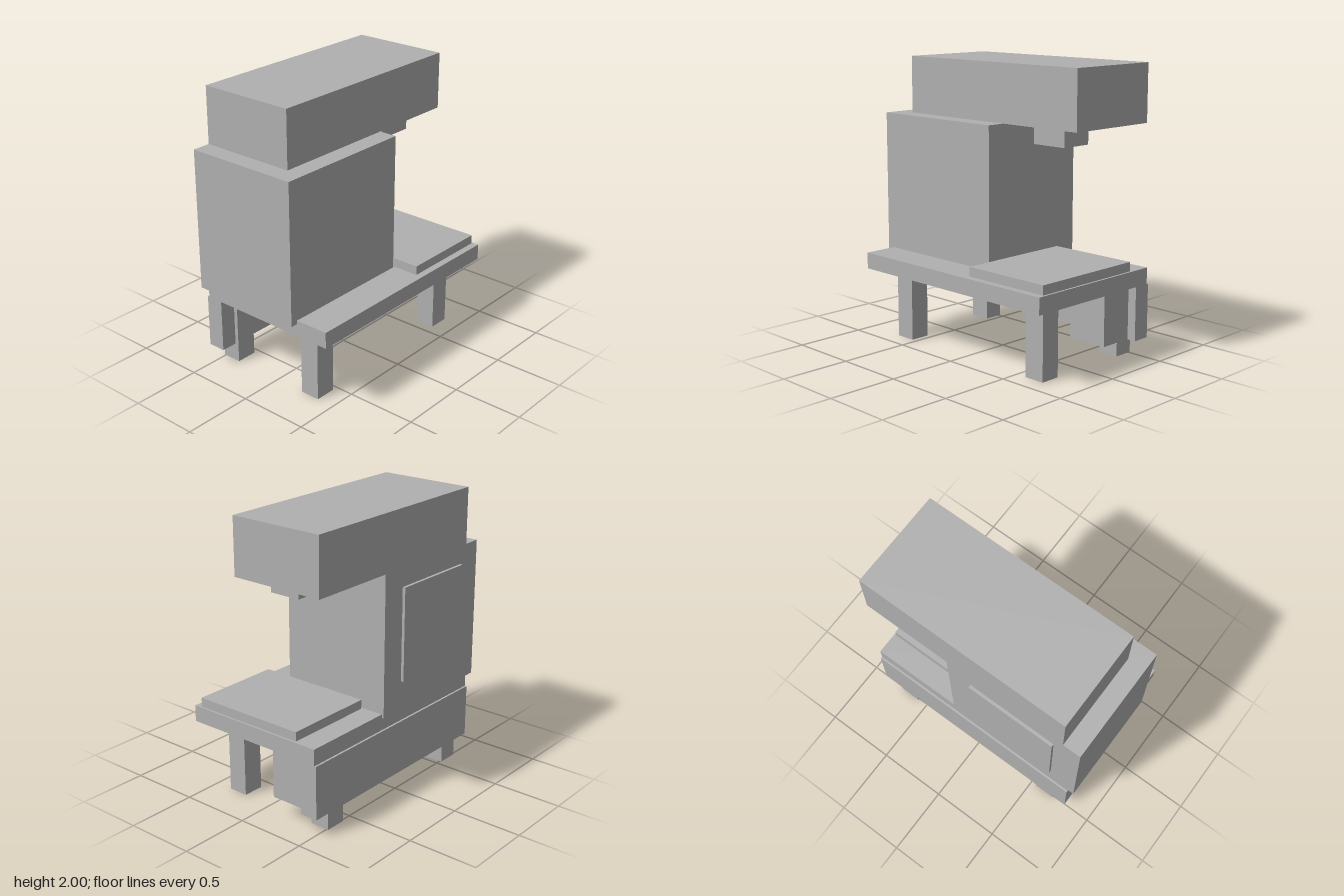
import * as THREE from 'three';

export function createModel() {
  const model = new THREE.Group();
  model.name = 'millingMachine';

  const grey = new THREE.MeshStandardMaterial({ color: 0xb0b0b0 });
  grey.name = 'grey';

  // Adds a box spanning the given [min, max] ranges
  function block(name, [x0, x1], [y0, y1], [z0, z1]) {
    const mesh = new THREE.Mesh(new THREE.BoxGeometry(x1 - x0, y1 - y0, z1 - z0), grey);
    mesh.position.set((x0 + x1) / 2, (y0 + y1) / 2, (z0 + z1) / 2);
    mesh.name = name;
    model.add(mesh);
  }

  // Table with its apron along the back
  block('tableTop', [-0.81, 0.863], [0.51, 0.625], [-0.512, 0.548]);
  block('backApron', [-0.81, 0.863], [0.132, 0.51], [-0.527, -0.398]);

  // Four legs
  for (const [side, x] of [['right', [-0.692, -0.54]], ['left', [0.578, 0.73]]]) {
    block(side + 'FrontLeg', x, [0, 0.51], [0.227, 0.37]);
    block(side + 'BackLeg', x, [0, 0.51], [-0.512, -0.37]);
  }

  // Control box under the table
  block('controlBox', [0.525, 0.822], [0.145, 0.498], [-0.37, -0.122]);

  // Column, overhanging head and the tool below it
  block('column', [-0.863, 0.176], [0.6, 1.6], [-0.527, 0.305]);
  block('head', [-0.732, 0.822], [1.6, 2], [-0.527, 0.174]);
  block('toolHolder', [0.345, 0.615], [1.47, 1.6], [-0.176, 0.056]);

  // Work plate on the table and access panel on the back
  block('workPlate', [0.19, 0.848], [0.625, 0.69], [-0.348, 0.498]);
  block('accessPanel', [-0.665, -0.008], [0.808, 1.47], [-0.548, -0.527]);

  return model;
}
